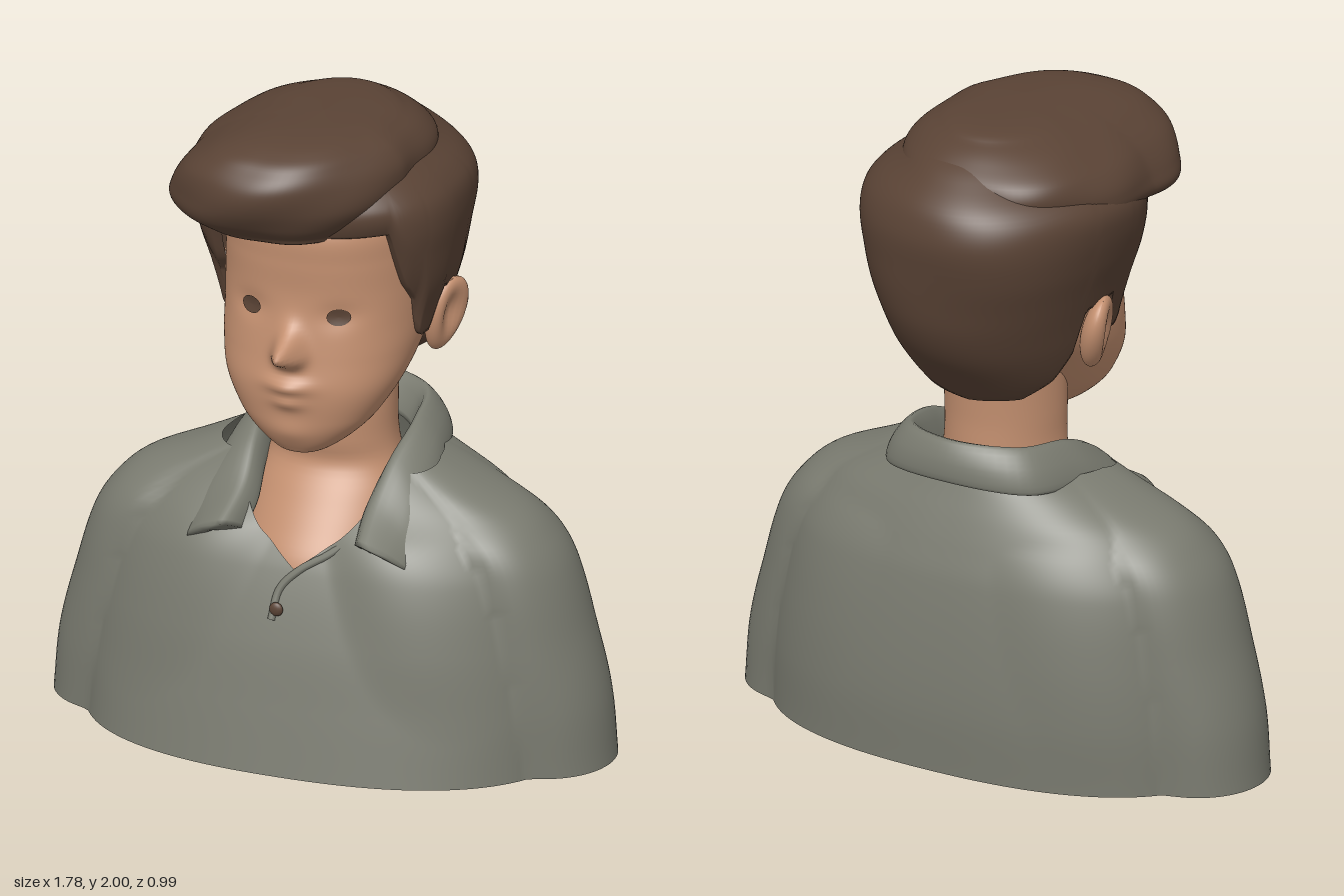
import * as THREE from 'three';

const mat = (name, color) => {
  const m = new THREE.MeshStandardMaterial({ color, side: THREE.DoubleSide });
  m.name = name;
  return m;
};

// Smooth lookup of a section table whose rows start with y.
function at(table, y) {
  const last = table.length - 1;
  let i = 0;
  while (i < last - 1 && y > table[i + 1][0]) i++;
  const slope = (k, c) => {
    const p = table[Math.max(k - 1, 0)], q = table[Math.min(k + 1, last)];
    return (q[c] - p[c]) / (q[0] - p[0]);
  };
  const A = table[i], B = table[i + 1], h = B[0] - A[0];
  const t = Math.min(1, Math.max(0, (y - A[0]) / h)), t2 = t * t, t3 = t2 * t;
  return A.map((a, c) => c === 0 ? y : (2 * t3 - 3 * t2 + 1) * a + (3 * t2 - 2 * t3) * B[c]
    + h * ((t3 - 2 * t2 + t) * slope(i, c) + (t3 - t2) * slope(i + 1, c)));
}

// Straight-line lookup for edges with corners.
function linear(points, x) {
  for (let i = 1; i < points.length; i++) {
    const [x0, y0] = points[i - 1], [x1, y1] = points[i];
    if (x <= x1) return y0 + (y1 - y0) * (x - x0) / (x1 - x0);
  }
  return points[points.length - 1][1];
}

// Surface closed around u, open along v.
function surface(name, material, nu, nv, f) {
  const pos = [], idx = [];
  for (let j = 0; j <= nv; j++) for (let i = 0; i < nu; i++) pos.push(...f(i / nu, j / nv));
  for (let j = 0; j < nv; j++) for (let i = 0; i < nu; i++) {
    const a = j * nu + i, b = j * nu + (i + 1) % nu;
    idx.push(a, b, b + nu, a, b + nu, a + nu);
  }
  const g = new THREE.BufferGeometry();
  g.setAttribute('position', new THREE.Float32BufferAttribute(pos, 3));
  g.setIndex(idx);
  g.computeVertexNormals();
  return named(name, g, material);
}

function named(name, geometry, material) {
  const m = new THREE.Mesh(geometry, material);
  m.name = name;
  return m;
}

const TAU = Math.PI * 2;
const ease = t => (1 - Math.cos(Math.PI * t)) / 2;
const bell = (x, y, cx, cy, sx, sy) => Math.exp(-(((x - cx) / sx) ** 2) - ((y - cy) / sy) ** 2);

// Polar radius of a rounded oval; angle 0 is the front, +x follows.
const oval = (a, rx, rz, n) =>
  (Math.abs(Math.sin(a) / rx) ** n + Math.abs(Math.cos(a) / rz) ** n) ** (-1 / n);

// Point on a section [y, cx, rx, zFront, zBack].
function ringPoint(row, a, n, cz = (row[3] + row[4]) / 2, scale = 1) {
  const rz = Math.cos(a) > 0 ? row[3] - cz : cz - row[4];
  const r = oval(a, row[2], rz, n) * scale;
  return [row[1] + r * Math.sin(a), row[0], cz + r * Math.cos(a)];
}

// ---- Shirt sections: y, rx, zFront, zBack, sleeve centre x, sleeve rx, sleeve rz
const SHIRT = [
  [0, .76, .49, .435, .685, .205, .215], [.2, .75, .45, .443, .67, .2, .22],
  [.4, .72, .405, .43, .63, .19, .22], [.6, .67, .338, .4, .57, .185, .215],
  [.7, .61, .28, .37, .51, .18, .2], [.78, .54, .225, .34, .42, .165, .14],
  [.85, .42, .175, .31, .28, .1, .1], [.92, .28, .13, .28, .15, .06, .06]];
const NECKLINE = [[0, .61], [.4, .7], [.78, .8], [1.03, .87], [1.57, .9], [3.15, .92]];

function shirtPoint(a, y) {
  const [, rx, zf, zb, cx, A, B] = at(SHIRT, y);
  const s = Math.abs(Math.sin(a)), c = Math.cos(a);
  const torso = oval(a, rx, c > 0 ? zf : zb, 2.35);
  const qa = (s / A) ** 2 + (c / B) ** 2, qb = s * cx / A ** 2;
  const disc = qb * qb - qa * ((cx / A) ** 2 - 1);
  const sleeve = (qb + Math.sqrt(Math.max(disc, 0))) / qa;
  const k = .04 + .14 * y, h = Math.max(k - Math.abs(torso - sleeve), 0) / k;
  const r = Math.max(torso, sleeve) + h * h * k / 4;
  return [r * Math.sin(a), y, r * c];
}
function onShirt(x, y, lift = 0) {
  const [, rx, zf] = at(SHIRT, y);
  return new THREE.Vector3(x, y, zf * (1 - Math.abs(x / rx) ** 2.35) ** (1 / 2.35) + lift);
}

// ---- Skin and hair sections: y, cx, rx, zFront, zBack
const NECK = [[.5, 0, .3, .34, -.2], [.62, 0, .28, .312, -.2], [.7, 0, .265, .262, -.2],
  [.8, 0, .235, .195, -.2], [.88, 0, .2, .145, -.2], [.95, 0, .186, .155, -.2],
  [1.05, 0, .185, .16, -.2], [1.3, 0, .185, .15, -.22]];
const HEAD = [[.972, 0, .002, .252, .248], [.98, 0, .055, .31, .17], [1, 0, .1, .335, .13],
  [1.05, 0, .165, .358, .07], [1.1, 0, .21, .37, .02], [1.2, 0, .267, .38, -.08],
  [1.3, 0, .295, .368, -.2], [1.4, 0, .305, .355, -.28], [1.5, 0, .31, .347, -.32],
  [1.6, 0, .31, .352, -.35], [1.7, 0, .3, .35, -.35], [1.8, 0, .25, .29, -.3], [1.88, 0, .1, .1, -.1]];
const HAIR = [[1.1, 0, .215, .36, -.2], [1.2, 0, .28, .37, -.29], [1.3, 0, .315, .38, -.375],
  [1.4, 0, .34, .38, -.43], [1.5, 0, .37, .37, -.46], [1.6, -.008, .395, .37, -.48],
  [1.7, -.012, .412, .37, -.49], [1.77, -.015, .405, .36, -.475], [1.82, -.015, .365, .33, -.447],
  [1.87, -.01, .29, .28, -.39], [1.92, 0, .22, .22, -.31], [1.96, 0, .12, .14, -.19], [1.98, 0, .002, .002, -.002]];
const HAIRLINE = [[0, 1.69], [.85, 1.7], [.93, 1.6], [1, 1.52], [1.15, 1.45], [1.19, 1.36], [1.26, 1.325],
  [1.42, 1.325], [1.5, 1.46], [1.86, 1.44], [1.93, 1.3], [2.1, 1.21], [2.4, 1.145], [3.15, 1.12]];
const QUIFF = [[1.665, -.03, .005, .3, .28], [1.68, -.03, .17, .4, .1], [1.7, -.06, .25, .43, -.1],
  [1.74, -.082, .325, .468, -.27], [1.8, -.065, .35, .49, -.36], [1.87, -.045, .335, .488, -.37],
  [1.92, -.025, .29, .46, -.32], [1.96, -.01, .225, .41, -.25], [1.99, 0, .13, .29, -.15],
  [2, 0, .001, .096, .094]];

// Relief of nose, lips, chin and eye sockets.
function relief(x, y) {
  const ax = Math.abs(x);
  return .092 * bell(x, y, 0, 1.328, .038, .042) + .03 * bell(x, y, 0, 1.365, .036, .05)
    + .02 * bell(ax, y, .034, 1.308, .022, .024) + .03 * bell(x, y, 0, 1.218, .065, .025)
    + .018 * bell(x, y, 0, 1.165, .05, .022) + .01 * bell(x, y, 0, 1.06, .07, .04)
    - .012 * bell(ax, y, .14, 1.44, .06, .04);
}
function faceZ(x, y) {
  const [, , rx, zf, zb] = at(HEAD, y);
  return (zf + zb) / 2 + (zf - zb) / 2 * (1 - Math.abs(x / rx) ** 2.3) ** (1 / 2.3) + relief(x, y);
}

// Collar stations from back centre to the left tip: inner edge, fold, outer edge.
const COLLAR = [
  [[0, .93, -.24], [0, 1.025, -.315], [0, .9, -.35]],
  [[.16, .9, -.19], [.19, 1.015, -.235], [.25, .885, -.275]],
  [[.2, .86, -.05], [.235, .99, -.06], [.325, .865, -.06]],
  [[.19, .83, .08], [.22, .915, .1], [.35, .785, .14]],
  [[.17, .75, .2], [.205, .81, .23], [.365, .69, .25]],
  [[.18, .69, .28], [.22, .73, .365], [.35, .655, .315]]];

function buildCollar(material) {
  const edges = [0, 1, 2].map(k => {
    const half = COLLAR.map(s => new THREE.Vector3(...s[k]));
    const other = half.slice(1).reverse().map(p => new THREE.Vector3(-p.x, p.y, p.z));
    return new THREE.CatmullRomCurve3([...other, ...half]);
  });
  const nv = 80;
  return surface('collar', material, 28, nv, (u, v) => {
    const w = Math.min(1, Math.max(0, (v - 1 / nv) / (1 - 2 / nv)));
    const [I, T, O] = edges.map(e => e.getPoint(w));
    const under = I.clone().lerp(O, .5).lerp(T, .45);
    const bulge = T.clone().lerp(O, .55).add(new THREE.Vector3(O.x, 0, O.z).setLength(.016));
    bulge.y += .012;
    const loop = new THREE.CatmullRomCurve3([I, T, bulge, O, O.clone().lerp(I, .22), under], true);
    const p = v === 0 || v === 1 ? T.clone().add(O).multiplyScalar(.5) : loop.getPoint(u);
    return p.toArray();
  });
}

function buildEar(side, material) {
  const g = new THREE.SphereGeometry(1, 32, 24);
  const p = g.attributes.position;
  for (let i = 0; i < p.count; i++) {
    const x = p.getX(i), y = p.getY(i), z = p.getZ(i);
    const dish = x * side > 0 ? .85 * bell(y, z, .12, .1, .6, .5) : 0;
    p.setXYZ(i, (x - side * dish) * .048, y * .122, z * .075 * (1 + .2 * y));
  }
  g.computeVertexNormals();
  const ear = named(side > 0 ? 'leftEar' : 'rightEar', g, material);
  ear.position.set(side * .34, 1.35, -.033);
  ear.rotation.set(-.15, side * -.25, side * -.28);
  return ear;
}

export function createModel() {
  const skin = mat('skin', 0xc49070), brown = mat('brown', 0x5a4335), cloth = mat('shirtGrey', 0x7a7b70);
  const model = new THREE.Group();
  model.name = 'bust';

  // Shirt with sleeves, and the skin underside
  model.add(surface('shirt', cloth, 240, 60, (u, v) => {
    const a = u * TAU;
    return shirtPoint(a, v * linear(NECKLINE, Math.min(a, TAU - a)));
  }));
  model.add(surface('underside', skin, 240, 1, (u, v) => {
    const [x, , z] = shirtPoint(u * TAU, 0);
    return [x * v * .995, .008, z * v * .995];
  }));
  model.add(buildCollar(cloth));

  // Placket and button
  const placket = [[.2, .735], [.1, .66], [.02, .61], [-.035, .55], [-.05, .46]];
  model.add(named('placket', new THREE.TubeGeometry(
    new THREE.CatmullRomCurve3(placket.map(([x, y]) => onShirt(x, y))), 40, .012, 8), cloth));
  const button = named('button', new THREE.SphereGeometry(.022, 16, 10), brown);
  button.scale.z = .5;
  button.position.copy(onShirt(-.035, .495, .01));
  model.add(button);

  // Neck and head
  model.add(surface('neck', skin, 96, 40, (u, v) => ringPoint(at(NECK, .5 + .8 * v), u * TAU, 2, 0)));
  model.add(surface('head', skin, 192, 110, (u, v) => {
    const a = u * TAU, p = ringPoint(at(HEAD, .972 + .908 * ease(v)), a, 2.3);
    if (Math.cos(a) > 0) p[2] += relief(p[0], p[1]);
    return p;
  }));

  for (const side of [1, -1]) {
    model.add(buildEar(side, skin));
    // Eye laid onto the face
    model.add(surface(side > 0 ? 'leftEye' : 'rightEye', brown, 24, 3, (u, v) => {
      const x = side * .14 + .034 * v * Math.cos(u * TAU), y = 1.44 + .026 * v * Math.sin(u * TAU);
      return [x, y, faceZ(x, y) + .005];
    }));
  }

  // Hair: back and sides, thinning to a turned-in lower edge, then the swept top
  model.add(surface('hairSides', brown, 192, 60, (u, v) => {
    const a = u * TAU, fold = Math.min(a, TAU - a), low = linear(HAIRLINE, fold);
    const t = Math.max(0, (v - 1 / 60) / (1 - 1 / 60));
    const y = low + (1.98 - low) * Math.sin(t * Math.PI / 2);
    const wave = 1 + .012 * Math.sin(5 * a + 9 * y) * Math.min(1, t * 3);
    const thin = fold < 1.2 ? .06 * Math.max(0, 1 - t / .2) ** 2 : 0;
    return ringPoint(at(HAIR, y), a, 2.15, 0, v === 0 ? .87 : wave - thin);
  }));
  model.add(surface('hairTop', brown, 128, 60, (u, v) => {
    const a = u * TAU, y = 1.665 + .335 * ease(v);
    const wave = 1 + .018 * Math.sin(3 * a + 14 * y) + .012 * Math.sin(7 * a - 20 * y);
    const p = ringPoint(at(QUIFF, y), a, 2.3, undefined, wave);
    p[0] -= .2 * Math.max(0, p[2] - .15);
    return p;
  }));
  return model;
}
